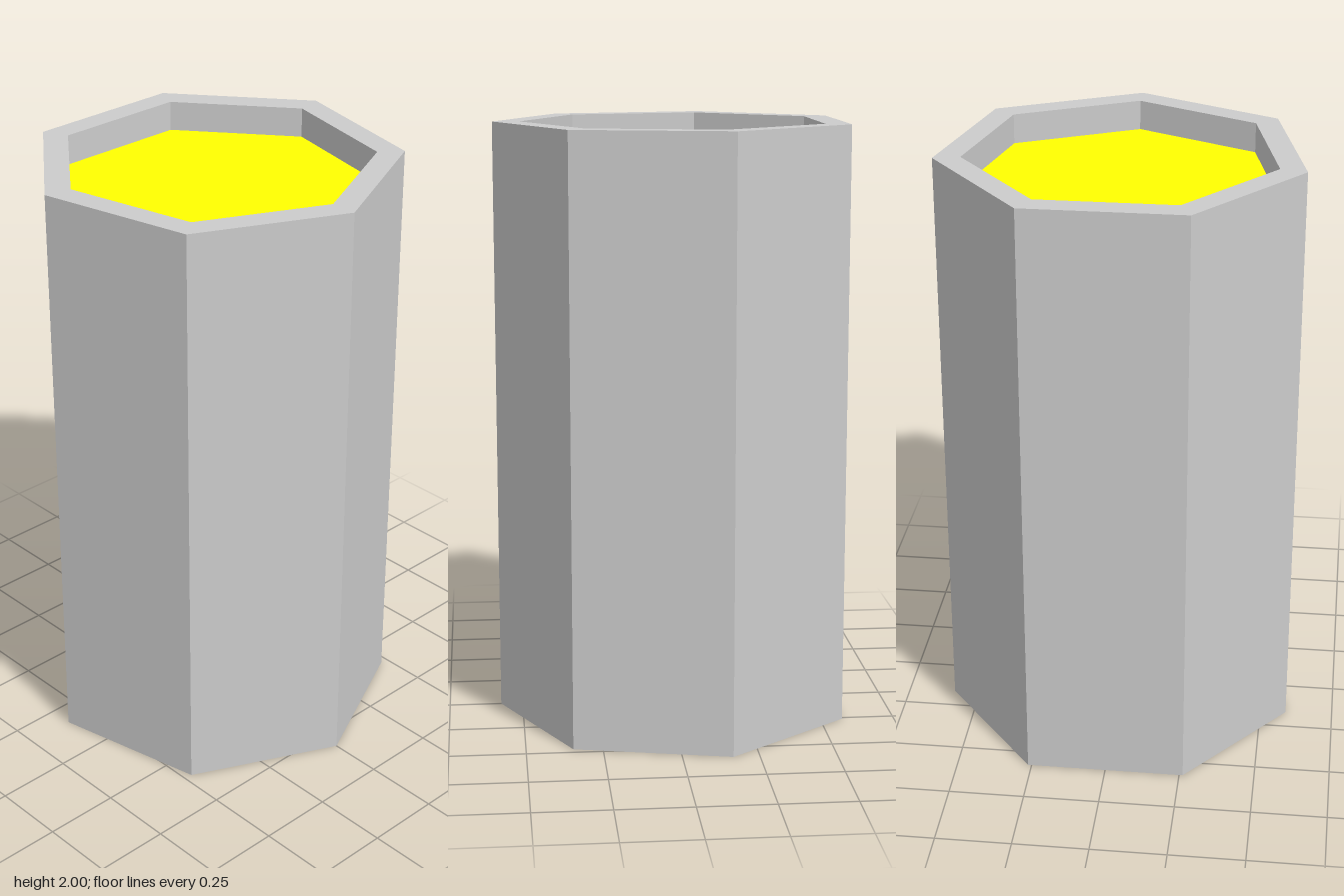
import * as THREE from 'three';

const SIDES = 7;
const OUTER = 0.604, INNER = 0.515;
const HEIGHT = 2, FILL = 1.9;

export function createModel() {
  const model = new THREE.Group();
  model.name = 'filledCup';

  // Heptagonal cup: closed base, outer wall, flat rim and inner wall
  const profile = [
    [0, 0], [OUTER, 0], [OUTER, HEIGHT], [INNER, HEIGHT], [INNER, FILL],
  ].map(([r, y]) => new THREE.Vector2(r, y));
  const cup = new THREE.Mesh(
    new THREE.LatheGeometry(profile, SIDES, Math.PI / 2),
    new THREE.MeshStandardMaterial({ color: 0xcccccc, flatShading: true })
  );
  cup.name = 'cup';

  // Yellow surface set just below the rim
  const filling = new THREE.Mesh(
    new THREE.CircleGeometry(INNER, SIDES).rotateX(-Math.PI / 2),
    new THREE.MeshStandardMaterial({ color: 0xffff00 })
  );
  filling.name = 'filling';
  filling.position.y = FILL;

  // A heptagon reaches further toward its corner, so shift it to centre its width
  model.add(cup, filling);
  for (const part of model.children) part.position.x = -0.03;
  return model;
}
